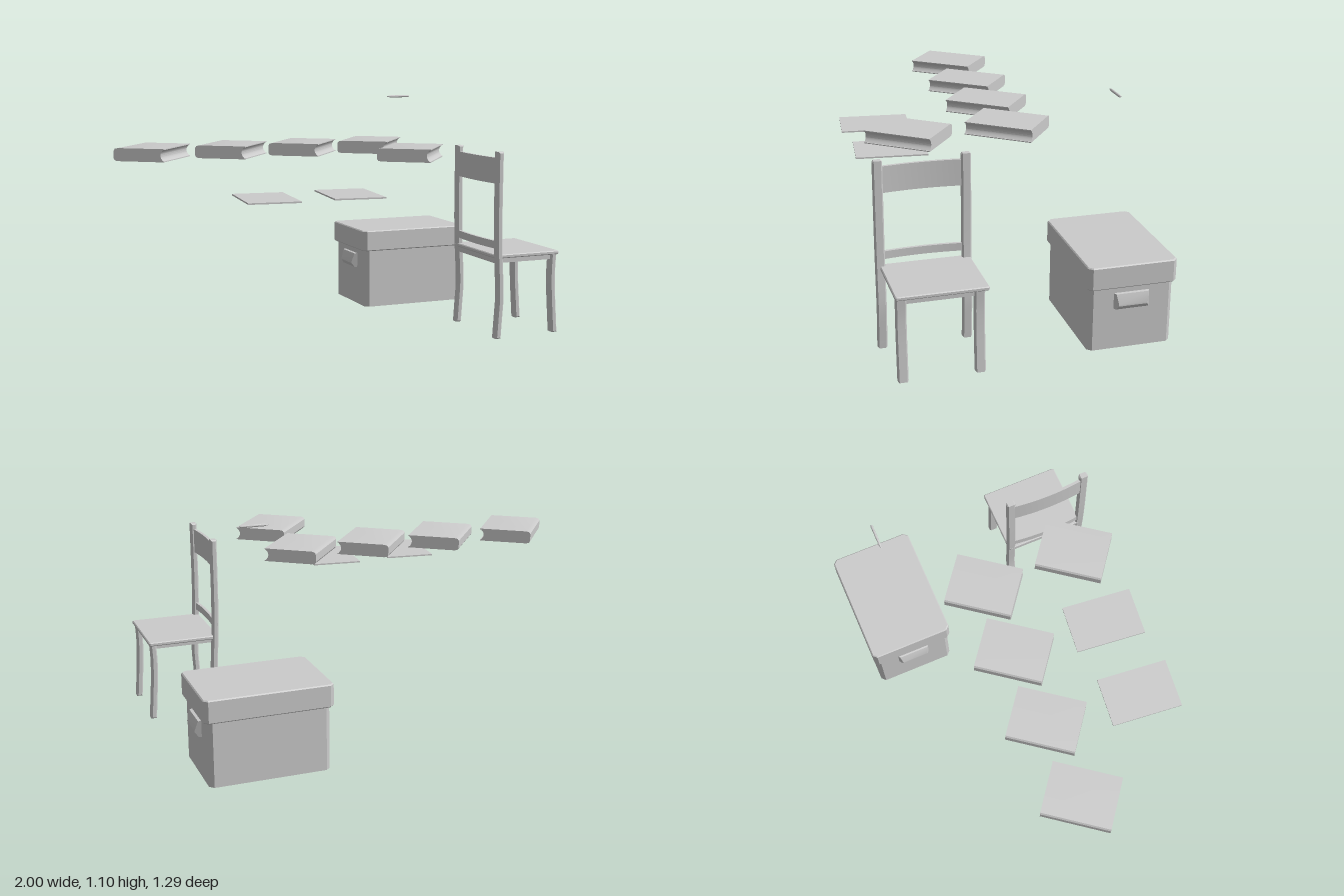
import * as THREE from 'three';
import { toCreasedNormals } from 'three/addons/utils/BufferGeometryUtils.js';

const grey = new THREE.MeshStandardMaterial({ color: 0xcccccc, side: THREE.DoubleSide });

function addMesh(parent, name, geometry, x = 0, y = 0, z = 0) {
  const mesh = new THREE.Mesh(geometry, grey);
  mesh.name = name;
  mesh.position.set(x, y, z);
  parent.add(mesh);
  return mesh;
}

function addGroup(parent, name) {
  const group = new THREE.Group();
  group.name = name;
  parent.add(group);
  return group;
}

const toShape = (points) => new THREE.Shape(points.map(([x, y]) => new THREE.Vector2(x, y)));

// Extrudes an outline along z, centred; an optional bevel stays within the depth.
function extrude(points, depth, bevel = 0) {
  const geo = new THREE.ExtrudeGeometry(toShape(points), {
    depth: depth - 2 * bevel, bevelEnabled: bevel > 0, bevelSize: bevel, bevelOffset: -bevel,
    bevelThickness: bevel, bevelSegments: 1, steps: 1,
  });
  geo.translate(0, 0, -depth / 2 + bevel);
  return toCreasedNormals(geo, 0.5);
}

// Rectangle with cut corners
function cutRect(w, d, c) {
  const a = w / 2, b = d / 2;
  return [[a - c, -b], [a, -b + c], [a, b - c], [a - c, b], [-a + c, b], [-a, b - c], [-a, -b + c], [-a + c, -b]];
}

// Leg outline swept along a gently bent centre line
function legGeometry(centres, halfWidth, depth) {
  const curve = new THREE.SplineCurve(centres.map(([x, y]) => new THREE.Vector2(x, y)));
  const line = curve.getPoints(14);
  const right = line.map((p) => [p.x + halfWidth, p.y]);
  const left = line.map((p) => [p.x - halfWidth, p.y]).reverse();
  return extrude([...right, ...left], depth, 0.006);
}

// Back rail bowed toward -x at the middle
function bowedRail(length, height, thickness, bow) {
  const n = 12, outer = [], inner = [];
  for (let i = 0; i <= n; i++) {
    const t = i / n * 2 - 1;
    const x = -bow * (1 - t * t);
    outer.push([x + thickness / 2, t * length / 2]);
    inner.push([x - thickness / 2, t * length / 2]);
  }
  return extrude([...outer, ...inner.reverse()], height).rotateX(-Math.PI / 2);
}

function buildChair(root) {
  const chair = addGroup(root, 'chair');
  const post = legGeometry([[0.663, 0.005], [0.669, 0.1], [0.675, 0.2], [0.671, 0.3], [0.664, 0.42], [0.66, 0.6], [0.66, 0.885]], 0.014, 0.043);
  const leg = legGeometry([[0.985, 0.005], [0.978, 0.1], [0.971, 0.2], [0.968, 0.3], [0.972, 0.388]], 0.014, 0.046);
  const midZ = 0.432;
  for (const s of [-1, 1]) {
    addMesh(chair, 'backPost', post, 0, 0, midZ + s * 0.194);
    addMesh(chair, 'frontLeg', leg, 0, 0, midZ + s * 0.169);
    addMesh(chair, 'sideApron', new THREE.BoxGeometry(0.3, 0.028, 0.016), 0.82, 0.374, midZ + s * 0.169);
  }
  addMesh(chair, 'frontApron', new THREE.BoxGeometry(0.016, 0.028, 0.3), 0.97, 0.374, midZ);
  addMesh(chair, 'rearApron', new THREE.BoxGeometry(0.016, 0.028, 0.36), 0.665, 0.374, midZ);
  const seat = extrude(cutRect(0.345, 0.405, 0.006), 0.018, 0.004).rotateX(-Math.PI / 2);
  addMesh(chair, 'seat', seat, 0.823, 0.393, 0.425);
  addMesh(chair, 'topRail', bowedRail(0.36, 0.12, 0.014, 0.012), 0.656, 0.796, midZ);
  addMesh(chair, 'lowerRail', bowedRail(0.36, 0.036, 0.014, 0.012), 0.66, 0.449, midZ);
}

function buildBox(root) {
  const box = addGroup(root, 'storageBox');
  box.position.set(0.658, 0, -0.44);
  addMesh(box, 'boxBody', extrude(cutRect(0.556, 0.394, 0.02), 0.31).rotateX(-Math.PI / 2), 0, 0.155);
  addMesh(box, 'boxLid', extrude(cutRect(0.592, 0.415, 0.02), 0.107, 0.005).rotateX(-Math.PI / 2), 0, 0.352);
  // Hooded pulls, narrowing outward
  const pull = extrude([[0, 0.195], [0.012, 0.195], [0.027, 0.215], [0.027, 0.223], [0.013, 0.268], [0, 0.27]], 0.165);
  const p = pull.attributes.position;
  for (let i = 0; i < p.count; i++) p.setZ(i, p.getZ(i) * (1 - p.getX(i) * 7));
  const handleGeo = toCreasedNormals(pull, 0.4);
  for (const s of [0, 1]) {
    const handle = addMesh(box, 'handle', handleGeo, s ? -0.278 : 0.278);
    handle.rotation.y = s * Math.PI;
  }
}

function buildBooks(root) {
  // Rounded spine on -x, hollowed page edge on +x between thin covers
  const w = 0.124, h = 0.03, profile = [];
  for (let i = 0; i <= 8; i++) {
    const t = i / 4 - 1;
    profile.push([w - 0.004 - 0.014 * (1 - t * t), t * (h - 0.004)]);
  }
  profile.unshift([-w + 0.02, -h], [w, -h], [w, -h + 0.004]);
  profile.push([w, h - 0.004], [w, h], [-w + 0.02, h], [-w + 0.006, h - 0.003], [-w, h - 0.012],
    [-w, -h + 0.012], [-w + 0.006, -h + 0.003]);
  const geo = extrude(profile, 0.322);
  for (const [x, z] of [[-0.802, -0.052], [-0.415, -0.052], [-0.05, -0.052], [0.309, -0.052], [0.309, 0.414]]) {
    addMesh(root, 'book', geo, x, 0.875, z).rotation.y = -0.652;
  }
}

function buildPen(root) {
  const profile = [[0, -0.065], [0.002, -0.063], [0.006, -0.042], [0.006, 0.058], [0.004, 0.065], [0, 0.065]];
  const geo = new THREE.LatheGeometry(profile.map(([x, y]) => new THREE.Vector2(x, y)), 12);
  addMesh(root, 'pen', toCreasedNormals(geo.rotateZ(-Math.PI / 2), 0.6), 0.65, 1.095, -0.44);
}

export function createModel() {
  const root = new THREE.Group();
  root.name = 'studyObjects';
  buildChair(root);
  buildBox(root);
  buildBooks(root);
  for (const x of [-0.414, -0.01]) {
    addMesh(root, 'paperPad', new THREE.BoxGeometry(0.238, 0.007, 0.343), x, 0.697, 0.437).rotation.y = -0.11;
  }
  buildPen(root);
  return root;
}
